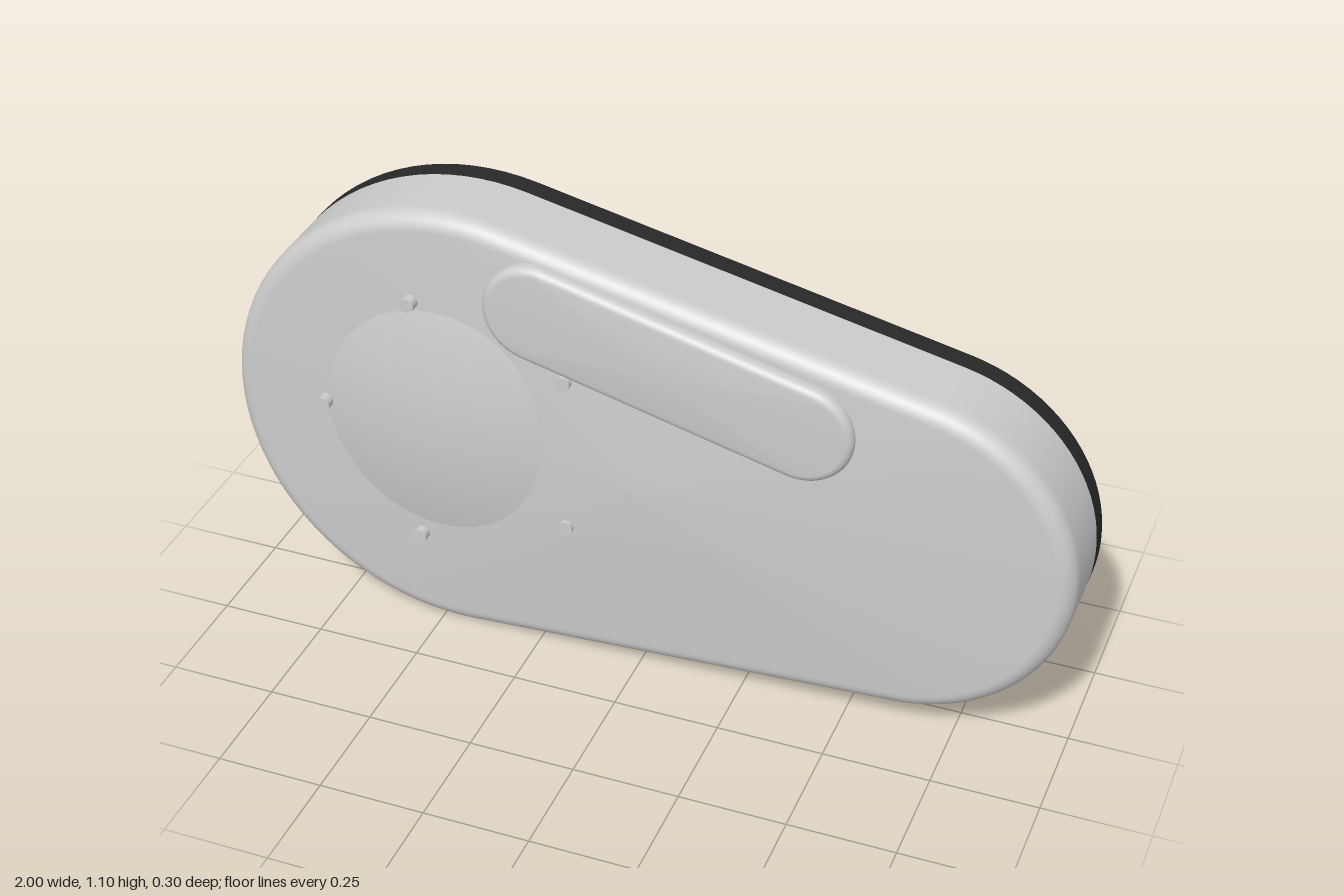
import * as THREE from 'three';

const lightGrey = new THREE.MeshStandardMaterial({ name: 'lightGrey', color: 0xcccccc });
const black = new THREE.MeshStandardMaterial({ name: 'black', color: 0x282828 });

// Counter-clockwise outline of a belt around two circles a and b ([x, y, radius]), moved inwards by inset
function beltOutline(a, b, inset) {
  const dx = b[0] - a[0], dy = b[1] - a[1];
  const phi = Math.atan2(dy, dx);
  const spread = Math.acos((a[2] - b[2]) / Math.hypot(dx, dy));
  const points = [];
  const arc = (c, from, to, n) => {
    for (let i = 0; i <= n; i++) {
      const t = from + (to - from) * i / n;
      points.push([c[0] + (c[2] - inset) * Math.cos(t), c[1] + (c[2] - inset) * Math.sin(t)]);
    }
  };
  const line = () => {
    const p = points[points.length - 1];
    return (q) => { for (let i = 1; i < 12; i++) points.push([p[0] + (q[0] - p[0]) * i / 12, p[1] + (q[1] - p[1]) * i / 12]); };
  };
  const at = (c, t) => [c[0] + (c[2] - inset) * Math.cos(t), c[1] + (c[2] - inset) * Math.sin(t)];
  arc(b, phi - spread, phi + spread, 40);
  line()(at(a, phi + spread));
  arc(a, phi + spread, phi - spread + Math.PI * 2, 48);
  line()(at(b, phi - spread));
  return points;
}

// Skin through rings [{inset, z, scale}] from back to front; scale shrinks a ring towards the centre
function beltSkin(a, b, rings) {
  const cx = (a[0] - a[2] + b[0] + b[2]) / 2, cy = (a[1] + b[1]) / 2;
  const positions = [], index = [];
  let n = 0;
  for (const { inset, z, scale = 1 } of rings) {
    const outline = beltOutline(a, b, inset);
    n = outline.length;
    for (const [x, y] of outline) positions.push(cx + (x - cx) * scale, cy + (y - cy) * scale, z);
  }
  for (let r = 0; r < rings.length - 1; r++) {
    for (let i = 0; i < n; i++) {
      const j = (i + 1) % n, p = r * n, q = p + n;
      index.push(p + i, p + j, q + j, p + i, q + j, q + i);
    }
  }
  const geometry = new THREE.BufferGeometry();
  geometry.setAttribute('position', new THREE.Float32BufferAttribute(positions, 3));
  geometry.setIndex(index);
  geometry.computeVertexNormals();
  return geometry;
}

// Quarter-round edge ending at z = top
function roundedEdge(radius, top, steps) {
  return Array.from({ length: steps + 1 }, (_, i) => {
    const t = Math.PI / 2 * i / steps;
    return { inset: radius * (1 - Math.cos(t)), z: top - radius * (1 - Math.sin(t)) };
  });
}

// Gently raised face closing a skin
function crown(inset, z, height, power, steps) {
  return Array.from({ length: steps }, (_, i) => {
    const scale = Math.max(1 - (i + 1) / steps, 0.001);
    return { inset, z: z + height * (1 - scale ** power), scale };
  });
}

export function createModel() {
  const model = new THREE.Group();
  model.name = 'cover';
  const add = (name, geometry, material) => {
    const mesh = new THREE.Mesh(geometry, material);
    mesh.name = name;
    model.add(mesh);
    return mesh;
  };

  const big = [-0.45, 0.55, 0.55], small = [0.59, 0.465, 0.41];

  // Light housing with a rounded front rim and a slightly crowned face
  add('housing', beltSkin(big, small, [
    { inset: 0, z: -0.09 }, { inset: 0, z: 0.05 },
    ...roundedEdge(0.042, 0.106, 8),
    ...crown(0.042, 0.106, 0.028, 1.3, 14),
  ]), lightGrey);

  // Dark back plate: edge band with a small round, and its flat back
  const edge = roundedEdge(0.012, 0.15, 4).map(({ inset, z }) => ({ inset, z: -z })).reverse();
  add('backPlateEdge', beltSkin(big, small, [...edge, { inset: 0, z: -0.11 }, { inset: 0, z: -0.09 }]), black);
  const backShape = new THREE.Shape(beltOutline(big, small, 0.012).map(([x, y]) => new THREE.Vector2(x, y)));
  const back = new THREE.ShapeGeometry(backShape);
  back.scale(-1, 1, 1).rotateY(Math.PI); // reversed below so it faces the rear
  const order = back.index.array;
  for (let i = 0; i < order.length; i += 3) [order[i], order[i + 1]] = [order[i + 1], order[i]];
  back.translate(0, 0, -0.15);
  back.computeVertexNormals();
  add('backPlate', back, black);

  // Slanted raised pad
  add('raisedPad', beltSkin([-0.235, 0.915, 0.12], [0.382, 0.757, 0.12], [
    { inset: 0, z: 0.09 }, { inset: 0, z: 0.115 },
    ...roundedEdge(0.02, 0.136, 6),
    ...crown(0.02, 0.136, 0.006, 2, 6),
  ]), lightGrey);

  // Shallow round dome
  const domeRadius = 1.3, domeAngle = Math.asin(0.32 / domeRadius);
  const dome = new THREE.SphereGeometry(domeRadius, 64, 12, 0, Math.PI * 2, 0, domeAngle);
  dome.rotateX(Math.PI / 2);
  add('dome', dome, lightGrey).position.set(-0.45, 0.57, 0.15 - domeRadius);

  // Five pins around the dome
  for (let i = 0; i < 5; i++) {
    const t = Math.PI + i * Math.PI * 2 / 5;
    const pin = new THREE.CylinderGeometry(0.017, 0.017, 0.04, 20);
    pin.rotateX(Math.PI / 2);
    add('pin', pin, lightGrey).position.set(-0.43 + 0.33 * Math.cos(t), 0.567 + 0.33 * Math.sin(t), 0.118);
  }
  return model;
}
